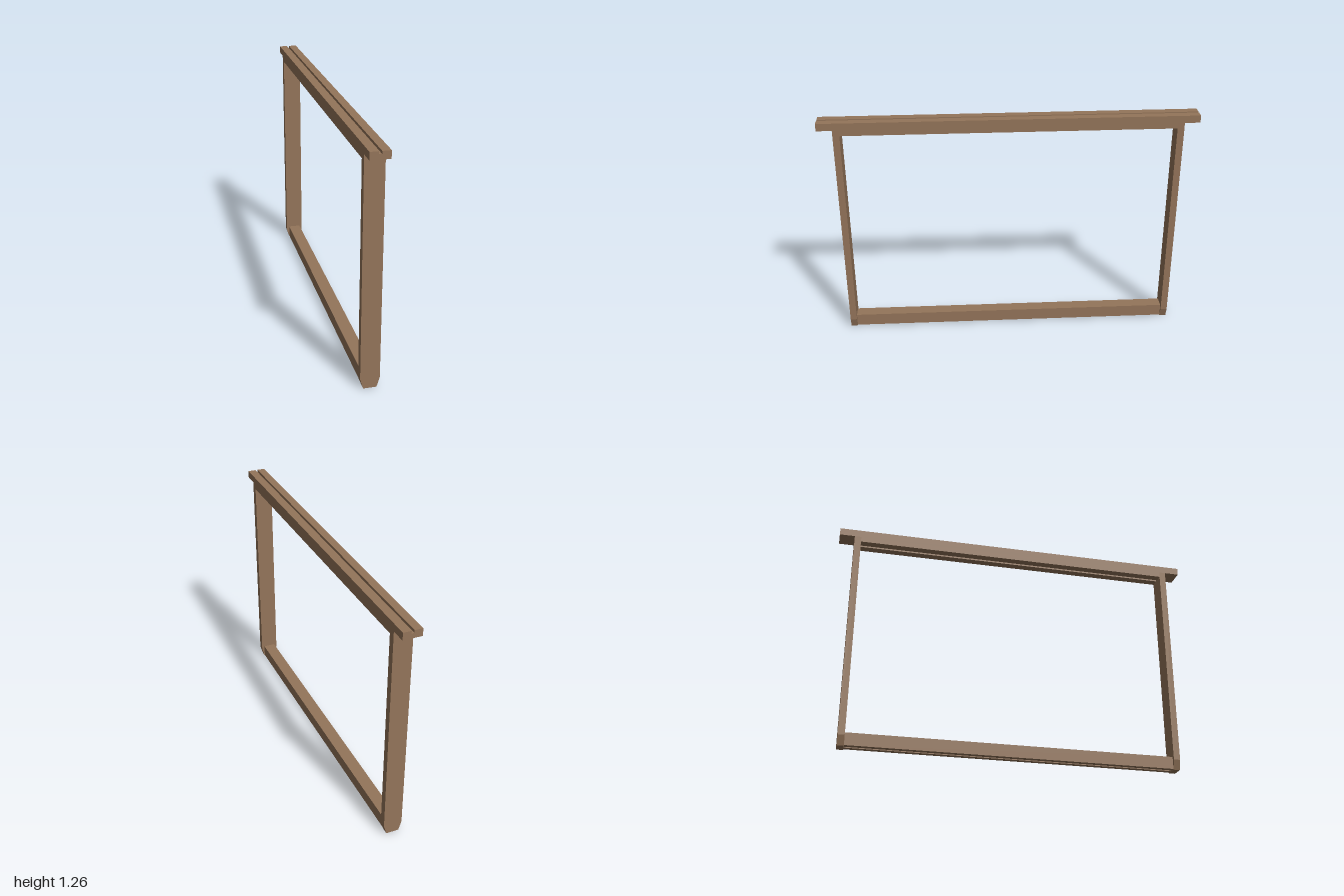
import * as THREE from 'three';

const wood = new THREE.MeshStandardMaterial({ color: 0x94755a });

// Extrudes an outline in x and y along z, centred on z
function barAlongZ(name, points, length, z = 0) {
  const shape = new THREE.Shape(points.map(([x, y]) => new THREE.Vector2(x, y)));
  const geometry = new THREE.ExtrudeGeometry(shape, { depth: length, bevelEnabled: false });
  geometry.translate(0, 0, z - length / 2);
  const mesh = new THREE.Mesh(geometry, wood);
  mesh.name = name;
  return mesh;
}

// Rectangular section with a narrow groove cut into the edge at yGroove
function groovedSection(halfWidth, yPlain, yGroove, depth) {
  const g = 0.007;
  const floor = yGroove + Math.sign(yPlain - yGroove) * depth;
  return [
    [-halfWidth, yPlain], [halfWidth, yPlain], [halfWidth, yGroove],
    [g, yGroove], [g, floor], [-g, floor], [-g, yGroove], [-halfWidth, yGroove],
  ];
}

export function createModel() {
  const group = new THREE.Group();
  group.name = 'hiveFrame';
  const w = 0.05, foot = 0.034;     // half widths of the bars and of the tapered foot
  const inner = 0.882, outer = 0.918; // faces of the side bars

  // Top bar: long grooved plank with end lugs, thickened between the side bars
  group.add(barAlongZ('topBar', groovedSection(w, 1.22, 1.26, 0.014), 2));
  group.add(barAlongZ('topBarRib', groovedSection(w, 1.22, 1.19, 0.014), 2 * inner));

  // Bottom bar, grooved underneath
  group.add(barAlongZ('bottomBar', groovedSection(foot, 0.072, 0.004, 0.014), 2 * inner));

  // Side bars with tapered feet
  const side = [[-foot, 0], [foot, 0], [w, 0.053], [w, 1.22], [-w, 1.22], [-w, 0.053]];
  for (const [name, s] of [['frontSideBar', 1], ['backSideBar', -1]]) {
    group.add(barAlongZ(name, side, outer - inner, s * (inner + outer) / 2));
  }
  return group;
}
